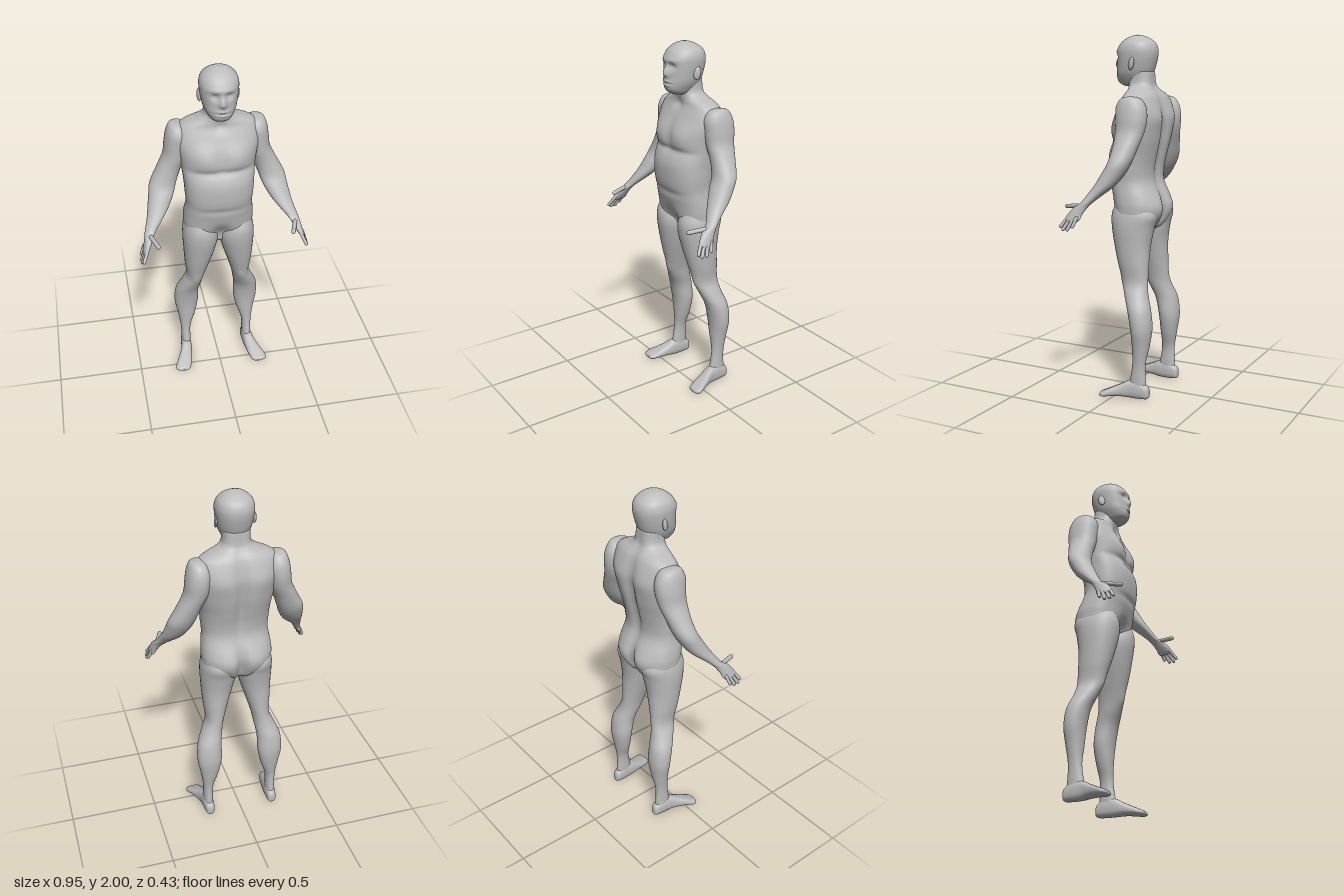
import * as THREE from 'three';

const skin = new THREE.MeshStandardMaterial({ color: 0xbcbcbc });
skin.name = 'plain grey';

// Catmull-Rom value between b and c
const spline = (a, b, c, d, t) =>
  0.5 * (2 * b + (c - a) * t + (2 * a - 5 * b + 4 * c - d) * t * t + (3 * b - a - 3 * c + d) * t * t * t);
const gauss = (d, s) => Math.exp(-(d * d) / (2 * s * s));

// Smooth skin over level rings. Row: [y, xMin, xMax, zBack, zFront], highest or lowest first.
// Bump: [side (+1 front, -1 back), x (mirrored), y, spreadX, spreadY, height outward]
function loft(rows, bumps = [], power = 2.2, segs = 48, steps = 6) {
  if (rows[0][0] < rows[rows.length - 1][0]) rows = [...rows].reverse();
  const pos = [], index = [], last = rows.length - 1;
  const round = v => Math.sign(v) * Math.pow(Math.abs(v), 2 / power);
  const rings = last * steps + 1;
  for (let k = 0; k < rings; k++) {
    const i = Math.min(Math.floor(k / steps), last - 1), t = k / steps - i;
    const pick = j => rows[Math.max(0, Math.min(last, j))];
    const [y, x0, x1, z0, z1] = rows[0].map((_, c) =>
      spline(pick(i - 1)[c], pick(i)[c], pick(i + 1)[c], pick(i + 2)[c], t));
    for (let s = 0; s < segs; s++) {
      const a = s / segs * Math.PI * 2, sn = Math.sin(a);
      const x = (x0 + x1) / 2 + (x1 - x0) / 2 * round(Math.cos(a));
      let z = (z0 + z1) / 2 + (z1 - z0) / 2 * round(sn);
      for (const [side, bx, by, sx, sy, h] of bumps) {
        const facing = Math.max(0, side * sn);
        const across = gauss(x - bx, sx) + (bx ? gauss(x + bx, sx) : 0);
        z += side * h * facing * across * gauss(y - by, sy);
      }
      pos.push(x, y, z);
    }
  }
  for (let k = 0; k < rings - 1; k++) for (let s = 0; s < segs; s++) {
    const a = k * segs + s, b = k * segs + (s + 1) % segs;
    index.push(a, b, a + segs, b, b + segs, a + segs);
  }
  // End caps
  for (const [row, start, flip] of [[rows[0], 0, false], [rows[last], (rings - 1) * segs, true]]) {
    const c = pos.length / 3;
    pos.push((row[1] + row[2]) / 2, row[0], (row[3] + row[4]) / 2);
    for (let s = 0; s < segs; s++) {
      const a = start + s, b = start + (s + 1) % segs;
      index.push(...(flip ? [c, a, b] : [c, b, a]));
    }
  }
  for (let i = 0; i < index.length; i += 3) [index[i + 1], index[i + 2]] = [index[i + 2], index[i + 1]];
  // Rings run from +x to +z going down, so settle the winding by signed volume
  let volume = 0;
  const p = i => new THREE.Vector3().fromArray(pos, i * 3);
  for (let i = 0; i < index.length; i += 3) volume += p(index[i]).dot(p(index[i + 1]).cross(p(index[i + 2])));
  if (volume < 0) index.reverse();
  const g = new THREE.BufferGeometry();
  g.setAttribute('position', new THREE.Float32BufferAttribute(pos, 3));
  g.setIndex(index);
  g.computeVertexNormals();
  return g;
}

const symmetric = rows => rows.map(([y, w, b, f]) => [y, -w, w, b, f]);
const sided = (rows, s) => s > 0 ? rows : rows.map(([y, x0, x1, b, f]) => [y, -x1, -x0, b, f]);

function part(name, geometry, parent) {
  const m = new THREE.Mesh(geometry, skin);
  m.name = name;
  parent.add(m);
  return m;
}

// Round-ended finger between two points
function finger(name, from, to, r, parent) {
  const a = new THREE.Vector3(...from), b = new THREE.Vector3(...to), d = b.clone().sub(a);
  const m = part(name, new THREE.CapsuleGeometry(r, d.length() - r, 4, 12), parent);
  m.position.copy(a).add(b).multiplyScalar(0.5);
  m.quaternion.setFromUnitVectors(new THREE.Vector3(0, 1, 0), d.normalize());
}

const torsoRows = [
  [0.915, 0.03, -0.11, -0.01], [0.945, 0.1, -0.165, 0.03], [1.0, 0.185, -0.195, 0.055],
  [1.06, 0.198, -0.208, 0.065], [1.12, 0.195, -0.195, 0.075], [1.2, 0.185, -0.165, 0.093],
  [1.27, 0.19, -0.165, 0.102], [1.35, 0.195, -0.182, 0.1], [1.42, 0.203, -0.198, 0.075],
  [1.48, 0.212, -0.206, 0.065], [1.55, 0.225, -0.21, 0.052], [1.61, 0.225, -0.197, 0.028],
  [1.66, 0.205, -0.18, 0.005], [1.685, 0.165, -0.165, 0], [1.705, 0.115, -0.15, 0],
  [1.735, 0.079, -0.136, 0.005], [1.8, 0.074, -0.13, 0.02]];
const torsoBumps = [
  [1, 0.1, 1.5, 0.06, 0.045, 0.022],                                    // chest
  [1, 0, 1.5, 0.012, 0.06, -0.01],                                      // breastbone groove
  [1, 0.1, 1.425, 0.09, 0.012, -0.01],                                  // fold under chest
  [1, 0, 1.185, 0.12, 0.012, -0.008],                                   // waist fold
  [1, 0, 0.99, 0.042, 0.05, -0.05],                                     // groin recess
  [1, 0, 1.665, 0.02, 0.02, -0.012],                                    // throat hollow
  [-1, 0, 1.42, 0.022, 0.17, -0.03],                                    // spine groove
  [-1, 0.12, 1.55, 0.045, 0.06, 0.01],                                  // shoulder blades
  [-1, 0.095, 1.04, 0.05, 0.055, 0.014], [-1, 0, 1.02, 0.016, 0.07, -0.04]]; // buttocks
const headRows = [
  [1.722, 0.035, -0.06, 0.035], [1.735, 0.055, -0.085, 0.062], [1.755, 0.068, -0.105, 0.08],
  [1.79, 0.085, -0.122, 0.083], [1.83, 0.095, -0.136, 0.08], [1.88, 0.102, -0.148, 0.08],
  [1.92, 0.103, -0.149, 0.076], [1.955, 0.091, -0.135, 0.056], [1.982, 0.062, -0.1, 0.022],
  [1.995, 0.033, -0.068, -0.01], [2.0, 0.004, -0.04, -0.032]];
const headBumps = [
  [1, 0, 1.85, 0.012, 0.022, 0.02], [1, 0, 1.835, 0.018, 0.008, 0.006], // nose
  [1, 0.037, 1.878, 0.017, 0.013, -0.014],                              // eye sockets
  [1, 0.035, 1.91, 0.025, 0.01, 0.005],                                 // brow
  [1, 0, 1.797, 0.022, 0.006, 0.006], [1, 0, 1.777, 0.02, 0.006, 0.006], // lips
  [1, 0, 1.787, 0.026, 0.003, -0.006]];                                 // mouth line
const armRows = [
  [1.668, 0.205, 0.235, -0.12, -0.09], [1.655, 0.17, 0.26, -0.16, -0.045],
  [1.61, 0.15, 0.277, -0.188, -0.02], [1.55, 0.15, 0.287, -0.195, -0.02],
  [1.48, 0.165, 0.297, -0.185, -0.025], [1.4, 0.2, 0.335, -0.165, -0.03],
  [1.32, 0.23, 0.377, -0.142, -0.02], [1.26, 0.252, 0.39, -0.112, 0.01],
  [1.2, 0.287, 0.402, -0.067, 0.042], [1.15, 0.33, 0.415, -0.008, 0.073],
  [1.11, 0.367, 0.43, 0.037, 0.1], [1.085, 0.388, 0.437, 0.057, 0.135],
  [1.05, 0.407, 0.446, 0.078, 0.163], [1.025, 0.422, 0.452, 0.086, 0.172],
  [1.012, 0.434, 0.452, 0.1, 0.16]];
const legRows = [
  [1.08, 0.04, 0.18, -0.17, 0.04], [1.02, 0.01, 0.2, -0.2, 0.062], [0.95, 0.002, 0.206, -0.183, 0.06],
  [0.85, 0.025, 0.202, -0.166, 0.04], [0.75, 0.055, 0.196, -0.163, 0.015],
  [0.65, 0.084, 0.188, -0.165, -0.016], [0.58, 0.097, 0.215, -0.175, -0.04],
  [0.5, 0.11, 0.248, -0.2, -0.073], [0.4, 0.112, 0.255, -0.21, -0.094],
  [0.3, 0.132, 0.238, -0.198, -0.102], [0.2, 0.163, 0.224, -0.181, -0.105],
  [0.11, 0.167, 0.222, -0.183, -0.092], [0.05, 0.168, 0.222, -0.19, -0.075]];
// Foot rows run along z: [z, xMin, xMax, -top, -sole]
const footRows = [
  [-0.205, 0.185, 0.205, -0.05, -0.02], [-0.195, 0.17, 0.218, -0.075, -0.005],
  [-0.15, 0.165, 0.226, -0.1, 0], [-0.09, 0.166, 0.232, -0.1, 0], [-0.04, 0.172, 0.25, -0.075, -0.004],
  [0.01, 0.181, 0.273, -0.052, -0.003], [0.04, 0.19, 0.285, -0.038, 0],
  [0.062, 0.2, 0.28, -0.028, -0.002], [0.072, 0.215, 0.255, -0.02, -0.008]];
const fingers = [
  ['indexFinger', [0.428, 1.04, 0.157], [0.456, 0.982, 0.195]],
  ['middleFinger', [0.434, 1.035, 0.14], [0.463, 0.968, 0.176]],
  ['ringFinger', [0.438, 1.035, 0.12], [0.465, 0.968, 0.148]],
  ['littleFinger', [0.44, 1.04, 0.1], [0.463, 0.986, 0.117]]];

export function createModel() {
  const body = new THREE.Group();
  body.name = 'figure';
  part('torso', loft(symmetric(torsoRows), torsoBumps, 2.4, 72), body);
  part('head', loft(symmetric(headRows), headBumps, 2.15, 80, 8), body);

  for (const s of [1, -1]) {
    const side = s > 0 ? 'left' : 'right';
    const at = ([x, y, z]) => [x * s, y, z];

    // Ear, tipped outward
    const ear = part(side + 'Ear', new THREE.SphereGeometry(1, 20, 14), body);
    ear.scale.set(0.009, 0.035, 0.02);
    ear.position.set(0.102 * s, 1.843, -0.047);
    ear.rotation.set(-0.2, -0.35 * s, 0);

    // Arm and hand
    const arm = new THREE.Group();
    arm.name = side + 'Arm';
    body.add(arm);
    part('armAndPalm', loft(sided(armRows, s), [], 2.1, 36), arm);
    for (const [name, a, b] of fingers) finger(name, at(a), at(b), 0.0095, arm);
    finger('thumb', at([0.405, 1.095, 0.11]), at([0.372, 1.083, 0.205]), 0.012, arm);

    // Leg and foot
    const leg = new THREE.Group();
    leg.name = side + 'Leg';
    body.add(leg);
    part('thighAndCalf', loft(sided(legRows, s), [[1, 0.135, 0.64, 0.025, 0.03, 0.007]], 2.1, 36), leg);
    part('foot', loft(sided(footRows, s), [], 2.5, 32).rotateX(Math.PI / 2), leg);
  }
  return body;
}
